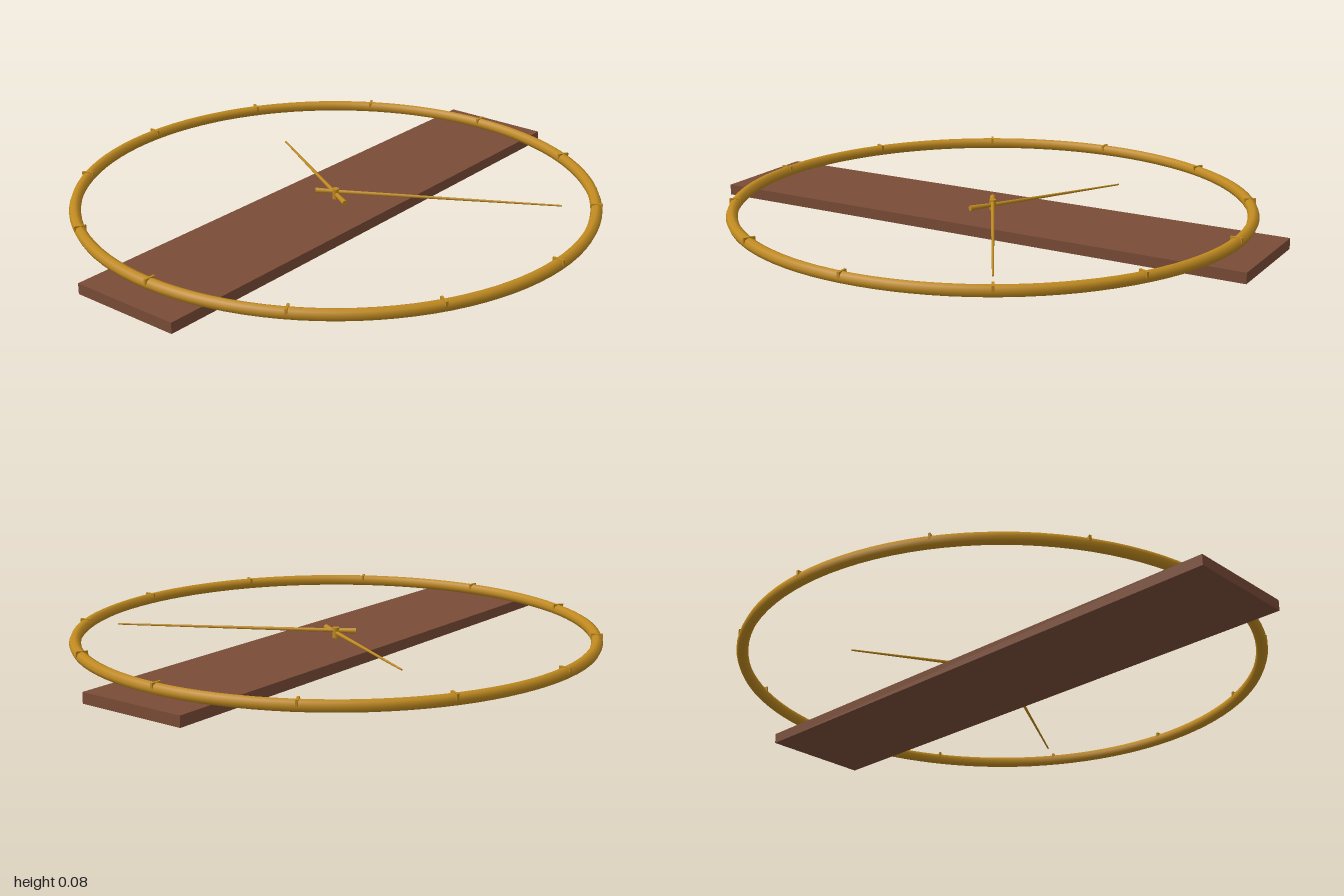
import * as THREE from 'three';

export function createModel() {
  const model = new THREE.Group();
  model.name = 'wallClock';

  const wood = new THREE.MeshStandardMaterial({ color: 0x7a4c36 });
  wood.name = 'walnut wood';
  const brass = new THREE.MeshStandardMaterial({ color: 0xc08a20 });
  brass.name = 'brass';

  const add = (parent, name, geometry, material) => {
    const mesh = new THREE.Mesh(geometry, material);
    mesh.name = name;
    parent.add(mesh);
    return mesh;
  };

  const boardTop = 0.037, tube = 0.02, ringRadius = 0.89;
  const ringY = boardTop + tube;

  // Backing plank
  add(model, 'plank', new THREE.BoxGeometry(0.4, boardTop, 2), wood).position.y = boardTop / 2;

  // Round rim resting on the plank
  const rim = add(model, 'rim', new THREE.TorusGeometry(ringRadius, tube, 8, 100), brass);
  rim.rotation.x = -Math.PI / 2;
  rim.position.y = ringY;

  // Twelve small hour marks set across the rim
  for (let i = 0; i < 12; i++) {
    const a = (i * Math.PI) / 6;
    const mark = add(model, 'hourMark', new THREE.BoxGeometry(0.008, 0.02, 0.04), brass);
    mark.position.set(Math.sin(a) * ringRadius, ringY + 0.0115, -Math.cos(a) * ringRadius);
    mark.rotation.y = -a;
  }

  // Tapered hand with a thicker counterweight tail; angle runs clockwise from twelve
  function addHand(name, angle, length, tail, y) {
    const hand = new THREE.Group();
    hand.name = name;
    hand.position.y = y;
    hand.rotation.y = -angle;
    const blade = add(hand, 'blade', new THREE.CylinderGeometry(0.003, 0.007, length, 8), brass);
    blade.rotation.x = -Math.PI / 2;
    blade.position.z = -length / 2;
    const weight = add(hand, 'tail', new THREE.CylinderGeometry(0.007, 0.01, tail, 8), brass);
    weight.rotation.x = -Math.PI / 2;
    weight.position.z = tail / 2;
    model.add(hand);
  }
  addHand('hourHand', -Math.PI / 3, 0.53, 0.09, 0.055);
  addHand('minuteHand', Math.PI / 3, 0.775, 0.07, 0.063);

  // Centre spindle
  const spindle = add(model, 'spindle', new THREE.CylinderGeometry(0.012, 0.012, 0.037, 16), brass);
  spindle.position.y = boardTop + 0.0185;

  return model;
}
